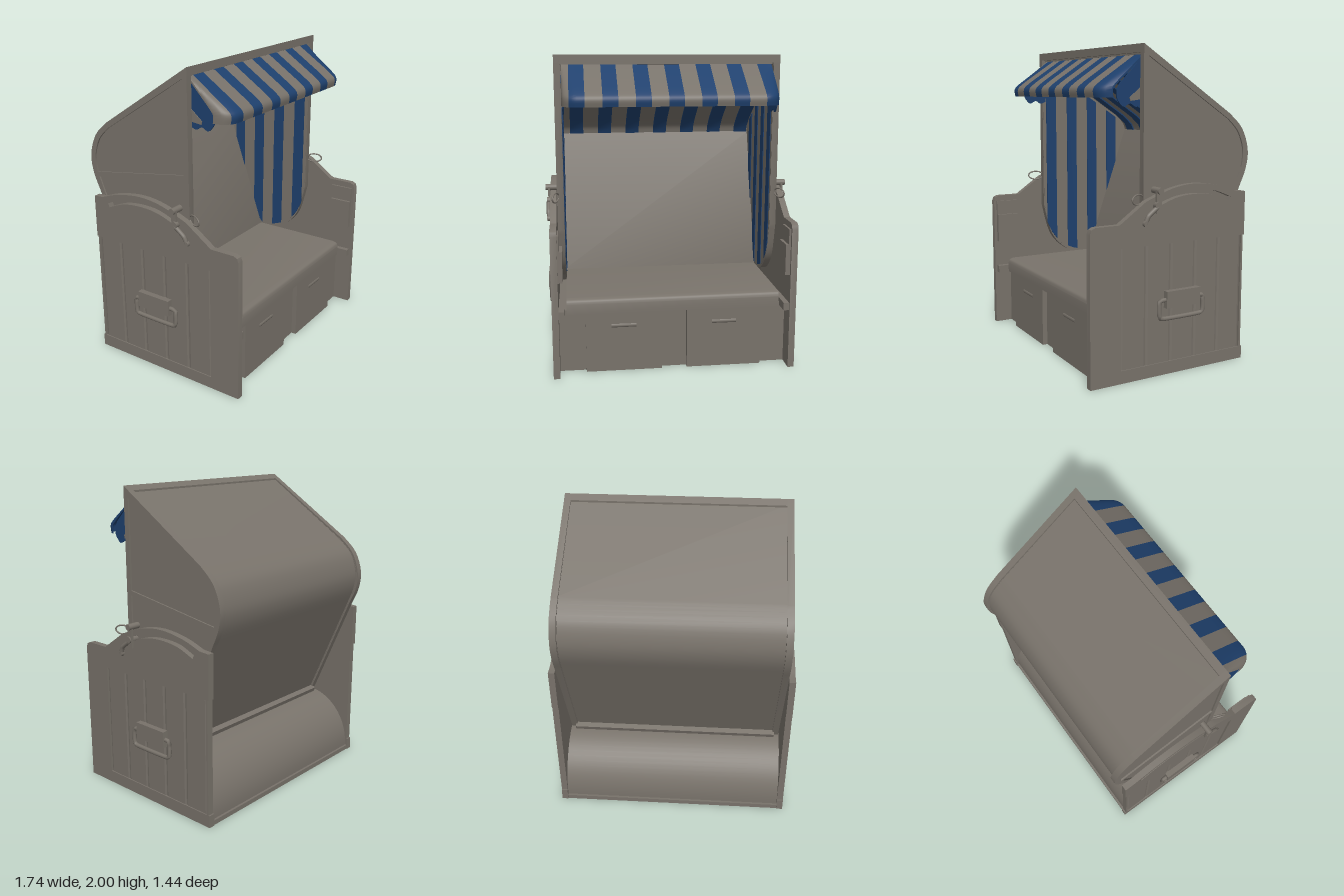
import * as THREE from 'three';
import { toCreasedNormals } from 'three/addons/utils/BufferGeometryUtils.js';

export function createModel() {
  const grey = new THREE.MeshStandardMaterial({ color: 0x78726a });
  grey.name = 'warm grey';
  const blue = new THREE.MeshStandardMaterial({ color: 0x1e406d });
  blue.name = 'stripe blue';

  const root = new THREE.Group();
  root.name = 'beachChair';
  const chair = new THREE.Group();
  chair.name = 'chair';
  chair.rotation.y = 0.2; // the chair stands slightly turned
  chair.position.x = -0.003;
  root.add(chair);

  const v = (p) => p.map(([a, b]) => new THREE.Vector2(a, b));
  const add = (name, geo, mat = grey) => {
    const m = new THREE.Mesh(geo, mat);
    m.name = name;
    chair.add(m);
    return m;
  };
  // Side profile of [z, y] points, extruded across from x0 to x1
  const extrude = (pts, x0, x1, holes = [], steps = 1) => {
    const s = new THREE.Shape(v(pts));
    holes.forEach((h) => s.holes.push(new THREE.Path(v(h))));
    return new THREE.ExtrudeGeometry(s, { depth: x1 - x0, bevelEnabled: false, steps })
      .rotateY(-Math.PI / 2).translate(x1, 0, 0);
  };
  const across = (name, pts, x0, x1, mat = grey, holes = []) =>
    add(name, toCreasedNormals(extrude(pts, x0, x1, holes), 0.5), mat);
  const box = (name, x0, x1, y0, y1, z0, z1, mat = grey) =>
    add(name, new THREE.BoxGeometry(x1 - x0, y1 - y0, z1 - z0)
      .translate((x0 + x1) / 2, (y0 + y1) / 2, (z0 + z1) / 2), mat);
  // The same box or plate on either side
  const sideBox = (name, s, a, b, ...rest) =>
    box(name, Math.min(s * a, s * b), Math.max(s * a, s * b), ...rest);
  const sidePlate = (name, s, pts, a, b, mat, holes) =>
    across(name, pts, Math.min(s * a, s * b), Math.max(s * a, s * b), mat, holes);
  const spline = (pts, n = 16) =>
    new THREE.SplineCurve(v(pts)).getPoints(n).map((p) => [p.x, p.y]);
  // Closed band lying to both sides of a path
  const band = (path, t) => {
    const off = (k) => path.map(([z, y], i) => {
      const a = path[Math.max(i - 1, 0)], b = path[Math.min(i + 1, path.length - 1)];
      const dz = b[0] - a[0], dy = b[1] - a[1], l = Math.hypot(dz, dy);
      return [z - (dy / l) * k, y + (dz / l) * k];
    });
    return [...off(t / 2), ...off(-t / 2).reverse()];
  };
  const tube = (name, pts, r, closed = false) => add(name, new THREE.TubeGeometry(
    new THREE.CatmullRomCurve3(pts.map((p) => new THREE.Vector3(...p)), closed, 'catmullrom', 0.3),
    40, r, 8, closed));
  const rod = (name, x, y, z, r, len) =>
    add(name, new THREE.CylinderGeometry(r, r, len, 16).rotateZ(Math.PI / 2).translate(x, y, z));

  // Base with a rounded back, and the seat
  const drum = [];
  for (let i = 0; i <= 16; i++) {
    const a = (i / 16) * Math.PI / 2;
    drum.push([-0.18 - 0.34 * Math.cos(a), 0.05 + 0.36 * Math.sin(a)]);
  }
  across('baseBody', [[-0.52, 0.02], ...drum, [0.455, 0.41], [0.455, 0.02]], -0.735, 0.735);
  box('basePlate', -0.735, 0.735, 0, 0.03, -0.535, 0.455);
  across('seat', [[-0.22, 0.39], [-0.22, 0.49], ...spline([[0.45, 0.49], [0.48, 0.48], [0.49, 0.455]], 8), [0.49, 0.39]],
    -0.686, 0.686);

  // Drawers with flat slot grips
  for (const s of [-1, 1]) {
    const c = s * 0.325;
    box('drawer', c - 0.243, c + 0.243, 0, 0.39, 0.3, 0.488);
    tube('drawerGrip', [[c - 0.08, 0.305, 0.477], [c, 0.305, 0.477], [c + 0.08, 0.305, 0.477]], 0.016);
  }

  // Hood roof, back and backrest as one shell
  across('hoodShell', [
    [0.17, 1.973], [-0.42, 1.587],
    ...spline([[-0.44, 1.572], [-0.53, 1.485], [-0.571, 1.36], [-0.562, 1.25], [-0.515, 1.13]]),
    [-0.2, 0.39], [-0.19, 0.49],
    ...spline([[-0.52, 1.43], [-0.5, 1.48], [-0.43, 1.545]], 8), [0.17, 1.94],
  ], -0.7, 0.7);
  across('hoodFrontBar', [[0.193, 2], [0.15, 1.972], [0.15, 1.95], [0.193, 1.95]], -0.73, 0.73);
  across('backLowerBar', band([[-0.24, 0.44], [-0.225, 0.4]], 0.04), -0.7, 0.7);

  // Hood sides: rim with two openings and a thinner infill
  const corner = spline([[-0.15, 0.47], [0, 0.515], [0.125, 0.64], [0.193, 0.87]]);
  const rear = spline([[-0.44, 1.59], [-0.54, 1.495], [-0.59, 1.36], [-0.577, 1.24], [-0.53, 1.13]]);
  const hood = [[0.193, 2], ...rear, [-0.215, 0.39], ...corner];
  const upper = [[0.157, 1.93], ...spline([[-0.43, 1.555], [-0.51, 1.475], [-0.553, 1.36], [-0.543, 1.25]], 12), [0.157, 1.36]];
  const lower = [[0.157, 1.33], [-0.53, 1.22], [-0.49, 1.12], [-0.2, 0.52], [-0.1, 0.53], [0.06, 0.6], [0.157, 0.87]];
  const roofY = (z) => 1.93 + 0.654 * (z - 0.187);
  const floorY = (z) => z < -0.2 ? 0.49 + (-0.2 - z) / 0.35
    : 0.86 - 0.36 * Math.sqrt(Math.max(0, 1 - (Math.max(z + 0.15, 0) / 0.337) ** 2));
  for (const s of [-1, 1]) {
    sidePlate('hoodSideRim', s, hood, 0.69, 0.732, grey, [upper, lower]);
    sidePlate('hoodSidePanel', s, hood.map(([z, y]) => [z * 0.98, 1.2 + (y - 1.2) * 0.98]), 0.688, 0.722);
    // Striped lining on the inner side
    for (let i = 0; i < 4; i++) {
      const z1 = 0.166 - i * 0.172, z0 = z1 - 0.08, zm = (z0 + z1) / 2;
      sidePlate('sideLiningStripe', s, [[z0, floorY(z0)], [zm, floorY(zm)], [z1, floorY(z1)], [z1, roofY(z1)], [z0, roofY(z0)]],
        0.683, 0.6875, blue);
    }
  }

  // Awning with rounded front corners; roof lining shares its stripes
  const awning = band(spline([[0.165, 1.935], [0.3, 1.845], [0.41, 1.77], [0.443, 1.735], [0.438, 1.69]], 20), 0.012);
  const lining = band([[0.14, 1.917], [-0.41, 1.55], [-0.43, 1.535], [-0.495, 1.475], [-0.515, 1.43]], 0.009);
  const half = 0.685;
  const awningPart = (name, x0, x1, mat) => {
    const g = extrude(awning, x0, x1, [], 6), p = g.attributes.position;
    for (let i = 0; i < p.count; i++) {
      const t = THREE.MathUtils.clamp((Math.abs(p.getX(i)) - half + 0.1) / 0.1, 0, 1);
      p.setZ(i, 0.165 + (p.getZ(i) - 0.165) * (0.64 + 0.36 * Math.sqrt(1 - t * t)));
    }
    add(name, toCreasedNormals(g, 0.6), mat);
  };
  let x = -half;
  for (let i = 0; i < 7; i++) {
    const b0 = -0.64 + i * 0.204, b1 = Math.min(b0 + 0.096, half);
    awningPart('awningPlain', x, b0, grey);
    awningPart('awningStripe', b0, b1, blue);
    across('roofLiningStripe', lining, b0, b1, blue);
    x = b1;
  }
  for (const s of [-1, 1]) {
    // Scalloped awning ends with a plain diagonal stripe
    sidePlate('awningEnd', s, [[0.17, 1.93], [0.25, 1.845], [0.325, 1.77], [0.345, 1.735], [0.345, 1.69],
      ...spline([[0.335, 1.67], [0.3, 1.637], [0.255, 1.655], [0.215, 1.635], [0.175, 1.65]])], 0.672, 0.68, blue);
    sidePlate('awningEndStripe', s, [[0.175, 1.76], [0.26, 1.69], [0.255, 1.67], [0.175, 1.68]], 0.68, 0.684);
  }

  // Side walls
  const wall = [
    [0.575, 0], [0.575, 0.92], [0.565, 0.948], [0.54, 0.96], [0.38, 0.96],
    ...spline([[0.2, 1.085], [0.02, 1.15], [-0.15, 1.172], [-0.33, 1.15], [-0.47, 1.105]]),
    [-0.54, 1.1], [-0.54, 0.82], [-0.53, 0.82], [-0.53, 0.08], [-0.54, 0.08], [-0.54, 0],
  ];
  const slot = band(spline([[0.15, 1.05], [0, 1.105], [-0.14, 1.122], [-0.29, 1.108], [-0.42, 1.06]]), 0.028);
  const opening = [[0.371, 0.08], [0.371, 0.82], [-0.516, 0.82], [-0.516, 0.08]];
  // Plan of the wall panel: shallow grooves between five boards
  const grooves = [];
  for (let i = 0; i < 5; i++) {
    const z = 0.371 - i * 0.1774;
    grooves.push([z - 0.002, 0.765], [z - 0.014, 0.769], [z - 0.163, 0.769], [z - 0.175, 0.765]);
  }
  const panelPlan = [[0.371, 0.737], ...grooves, [-0.516, 0.737]];
  for (const s of [-1, 1]) {
    sidePlate('sideWall', s, wall, 0.735, 0.776, grey, [slot, opening]);
    const panel = new THREE.ExtrudeGeometry(new THREE.Shape(v(panelPlan.map(([z, d]) => [s * d, -z]))),
      { depth: 0.74, bevelEnabled: false }).rotateX(-Math.PI / 2).translate(0, 0.08, 0);
    add('wallPanel', toCreasedNormals(panel, 0.1));

    // Inner ledge and folding table
    sideBox('innerLedge', s, 0.7, 0.735, 0.385, 0.435, 0.3, 0.56);
    sideBox('tableBack', s, 0.722, 0.736, 0.62, 0.92, 0.4, 0.556);
    sideBox('foldingTable', s, 0.704, 0.724, 0.62, 0.82, 0.405, 0.556);

    // Carrying handle
    sideBox('handlePlate', s, 0.76, 0.806, 0.425, 0.53, -0.18, 0.065);
    tube('carryHandle', [[0.09, 0.475], [0.108, 0.45], [0.108, 0.385], [0.083, 0.36], [-0.188, 0.36],
      [-0.212, 0.385], [-0.212, 0.45], [-0.195, 0.475]].map(([z, y]) => [s * 0.786, y, z]), 0.014, true);

    // Tilt clamp: rods, lever and wire loop
    rod('clampRod', s * 0.757, 1.145, 0.115, 0.02, 0.1);
    rod('clampPivot', s * 0.765, 1.06, 0.125, 0.022, 0.07);
    sideBox('clampLink', s, 0.776, 0.79, 1.01, 1.15, 0.1, 0.135);
    tube('clampLever', [[s * 0.785, 0.95, 0.21], [s * 0.788, 1.0, 0.19], [s * 0.788, 1.05, 0.125]], 0.014);
    rod('leverKnob', s * 0.783, 0.955, 0.208, 0.018, 0.03);
    const loop = [];
    for (let i = 0; i < 12; i++) {
      const a = (i / 12) * Math.PI * 2;
      loop.push([s * (0.74 + 0.02 * Math.cos(a)), 1.095 + 0.03 * Math.sin(a), 0.235 + 0.05 * Math.cos(a)]);
    }
    tube('wireLoop', loop, 0.005, true);
  }
  return root;
}
